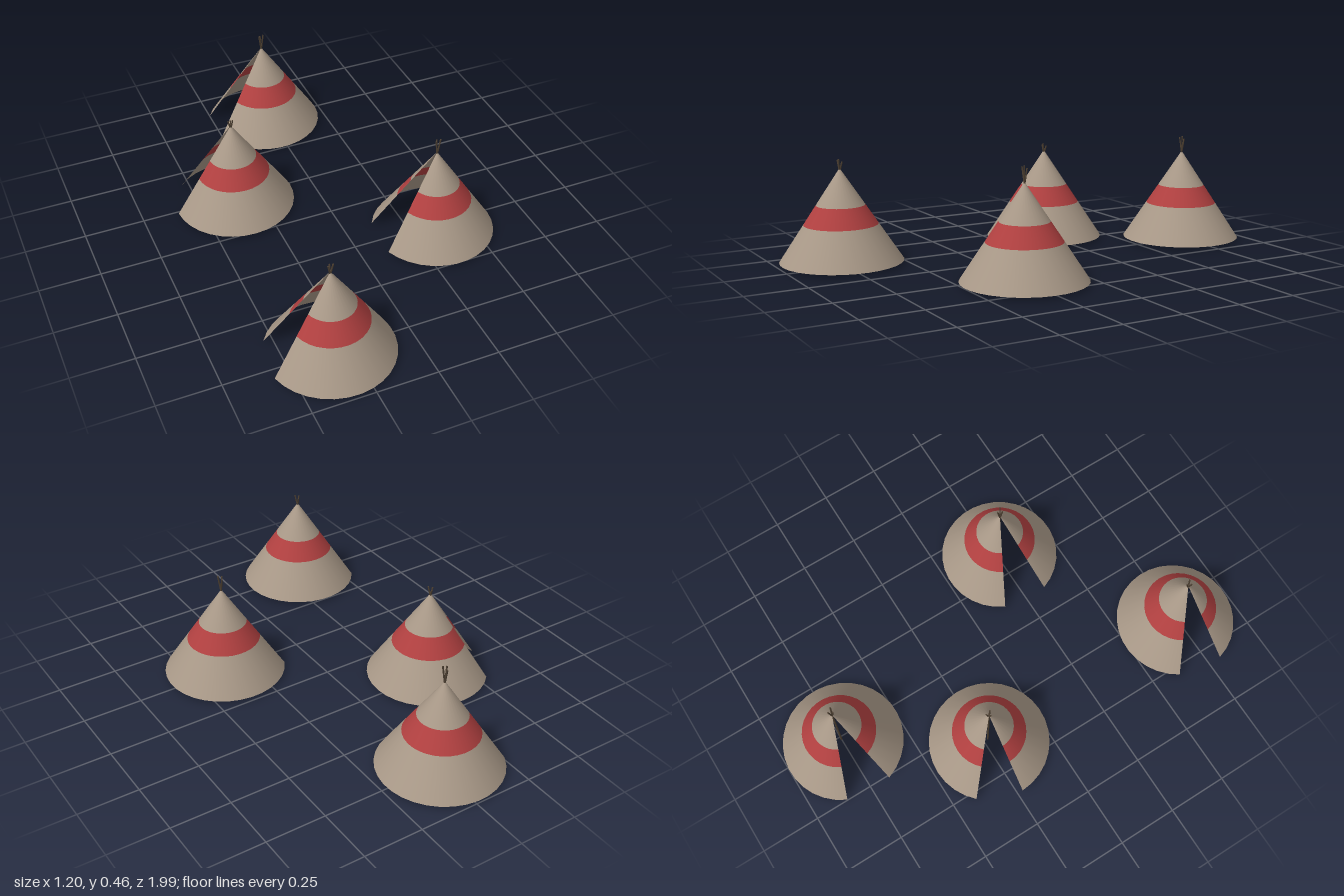
import * as THREE from 'three';

const canvas = new THREE.MeshStandardMaterial({ color: 0xa89887, side: THREE.DoubleSide });
canvas.name = 'tan canvas';
const red = new THREE.MeshStandardMaterial({ color: 0xb04040, side: THREE.DoubleSide });
red.name = 'red band';
const wood = new THREE.MeshStandardMaterial({ color: 0x4d4032 });
wood.name = 'dark wood';

const BASE_Y = 0.01, TOP_Y = 0.388, BASE_R = 0.253, TOP_R = 0.003;
const GAP = Math.PI / 4;

// Radius of the tent cover at height y
const radiusAt = (y) => THREE.MathUtils.mapLinear(y, BASE_Y, TOP_Y, BASE_R, TOP_R);

// One ring of the open cone, with the doorway facing -x
function coverRing(name, y0, y1, material) {
  const profile = [y0, y1].map((y) => new THREE.Vector2(radiusAt(y), y));
  const start = Math.PI * 1.5 + GAP / 2;
  const ring = new THREE.Mesh(new THREE.LatheGeometry(profile, 28, start, Math.PI * 2 - GAP), material);
  ring.name = name;
  return ring;
}

// Straight pole between two points
function pole(name, from, to, radius) {
  const a = new THREE.Vector3(...from), b = new THREE.Vector3(...to);
  const dir = b.clone().sub(a);
  const mesh = new THREE.Mesh(new THREE.CylinderGeometry(radius, radius, dir.length(), 6), wood);
  mesh.position.copy(a).add(b).multiplyScalar(0.5);
  mesh.quaternion.setFromUnitVectors(new THREE.Vector3(0, 1, 0), dir.normalize());
  mesh.name = name;
  return mesh;
}

function tent({ x, z, turn, tip }) {
  const group = new THREE.Group();
  group.name = 'tent';
  group.add(
    coverRing('lowerCover', BASE_Y, 0.163, canvas),
    coverRing('bandCover', 0.163, 0.242, red),
    coverRing('upperCover', 0.242, TOP_Y, canvas),
    pole('centrePole', [0.011, 0, -0.004], [0, TOP_Y + 0.01, 0], 0.004),
  );
  // Pole ends fanning out above the smoke hole
  for (let i = 0; i < 3; i++) {
    const a = 0.5 + (i * Math.PI * 2) / 3;
    const dx = Math.cos(a), dz = Math.sin(a);
    group.add(pole('poleTip', [-dx * 0.002, TOP_Y - 0.02, -dz * 0.002],
      [dx * 0.011, tip - i * 0.006, dz * 0.011], 0.0033));
  }
  group.position.set(x, 0, z);
  group.rotation.y = -THREE.MathUtils.degToRad(turn);
  return group;
}

export function createModel() {
  const model = new THREE.Group();
  model.name = 'tentCamp';
  const camp = [
    { x: -0.023, z: -0.747, turn: 3.5, tip: 0.458 },
    { x: -0.35, z: -0.231, turn: 21.6, tip: 0.423 },
    { x: 0.347, z: 0.262, turn: 4, tip: 0.456 },
    { x: -0.321, z: 0.741, turn: 8.2, tip: 0.43 },
  ];
  camp.forEach((spec) => model.add(tent(spec)));
  return model;
}
